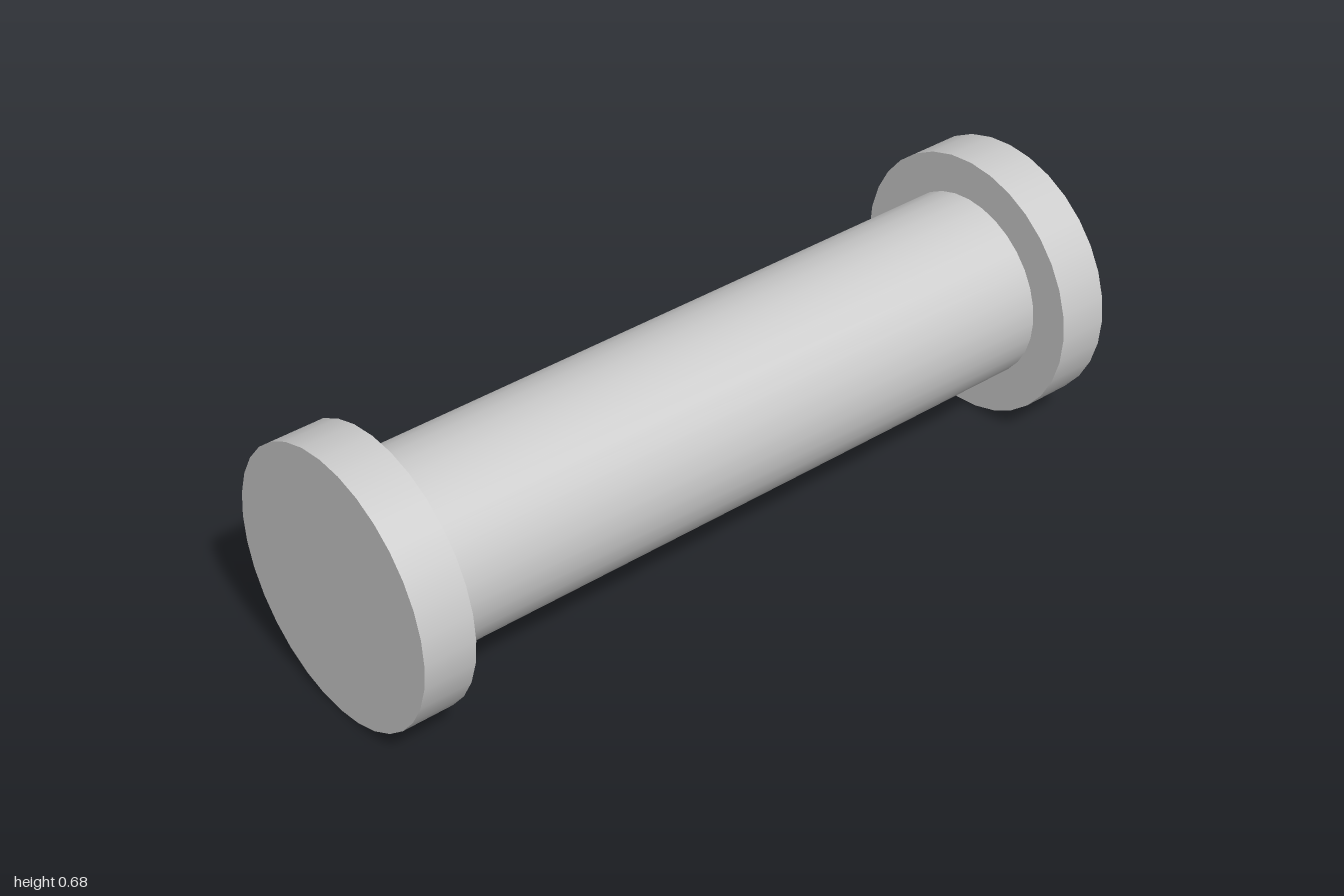
import * as THREE from 'three';

const FLANGE_RADIUS = 0.3375;
const FLANGE_DEPTH = 0.132;
const SHAFT_RADIUS = 0.237;
const LENGTH = 2;

export function createModel() {
  const model = new THREE.Group();
  const material = new THREE.MeshStandardMaterial({ color: 0xcccccc });

  // Round bar lying along z, resting at flange height
  const addBar = (name, radius, length, z, open = false) => {
    const geometry = new THREE.CylinderGeometry(radius, radius, length, 32, 1, open);
    geometry.rotateX(Math.PI / 2);
    const mesh = new THREE.Mesh(geometry, material);
    mesh.name = name;
    mesh.position.set(0, FLANGE_RADIUS, z);
    model.add(mesh);
  };

  // Central shaft, its ends hidden against the flanges
  addBar('shaft', SHAFT_RADIUS, LENGTH - 2 * FLANGE_DEPTH, 0, true);

  // Flange disc at each end
  const flangeZ = (LENGTH - FLANGE_DEPTH) / 2;
  addBar('frontFlange', FLANGE_RADIUS, FLANGE_DEPTH, flangeZ);
  addBar('backFlange', FLANGE_RADIUS, FLANGE_DEPTH, -flangeZ);

  return model;
}
